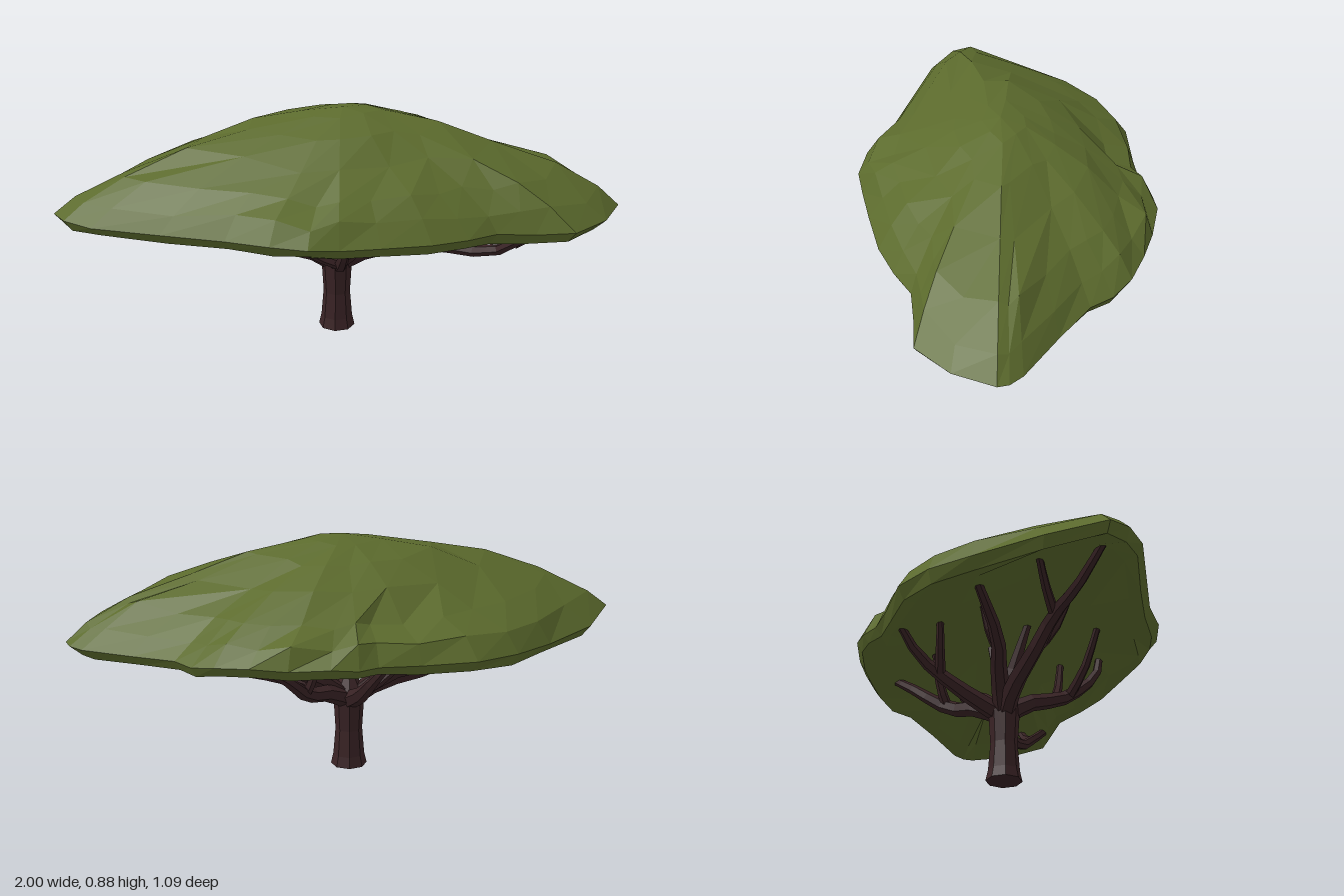
import * as THREE from 'three';

const foliage = new THREE.MeshStandardMaterial({ color: 0x5c6b2d, flatShading: true });
foliage.name = 'olive foliage';
const bark = new THREE.MeshStandardMaterial({ color: 0x392325, flatShading: true });
bark.name = 'dark bark';

const vec = (p) => new THREE.Vector3(...p);

// Plan outline of the canopy as [x, z], from the left end round by the front
const OUTLINE = [
  [1, -0.07], [0.86, 0.21], [0.6, 0.25], [0.41, 0.38], [0.1, 0.49], [-0.1, 0.54], [-0.4, 0.45], [-0.87, 0.35], [-1, 0.23],
  [-0.73, -0.18], [-0.47, -0.41], [-0.12, -0.48], [0.02, -0.55], [0.28, -0.53], [0.5, -0.46], [0.62, -0.33], [0.95, -0.14],
];
const SEGMENTS = 32;

// Half section of the canopy as [reach, height], from the hollow underside to the crown
const SECTION = [
  [0.3, 0.56], [0.6, 0.53], [0.86, 0.495], [0.96, 0.468], [1, 0.505],
  [0.92, 0.58], [0.76, 0.665], [0.55, 0.748], [0.34, 0.812], [0.15, 0.86],
];

function seeded(seed) {
  return () => {
    seed = (seed * 16807) % 2147483647;
    return (seed / 2147483647) * 2 - 1;
  };
}

// Joins two closed rings of any size with triangles
function stitch(a, b, out) {
  const n = a.length, m = b.length;
  let i = n === 1 ? n : 0, j = m === 1 ? m : 0;
  while (i < n || j < m) {
    if (j >= m || (i < n && (i + 1) / n <= (j + 1) / m)) {
      out.push(...a[i % n], ...b[j % m], ...a[(i + 1) % n]);
      i++;
    } else {
      out.push(...a[i % n], ...b[j % m], ...b[(j + 1) % m]);
      j++;
    }
  }
}

// Canopy: the outline scaled along the section, coarser inwards and roughened on its flanks
function makeCanopy() {
  const rand = seeded(4211);
  const outline = new THREE.CatmullRomCurve3(OUTLINE.map(([x, z]) => vec([x, 0, z])), true, 'centripetal');
  const rings = SECTION.map(([reach, height]) => {
    const count = reach > 0.7 ? SEGMENTS : reach > 0.32 ? SEGMENTS / 2 : SEGMENTS / 4;
    const rough = reach > 0.95 ? 0.006 : 0.018 * Math.sqrt(reach);
    const rimLift = 0.05 * THREE.MathUtils.smoothstep(reach, 0.8, 0.96);
    return Array.from({ length: count }, (_, i) => {
      const p = outline.getPoint(i / count);
      const k = reach === 1 ? 1 : reach * (1 + rand() * rough * 2);
      return [p.x * k, height + rimLift * (p.z / 0.54) ** 2 + rand() * rough, p.z * k];
    });
  });
  const chain = [[[0, 0.57, 0]], ...rings, [[0.01, 0.876, 0.01]]];
  const verts = [];
  for (let i = 0; i < chain.length - 1; i++) stitch(chain[i], chain[i + 1], verts);
  const geo = new THREE.BufferGeometry();
  geo.setAttribute('position', new THREE.Float32BufferAttribute(verts, 3));
  geo.computeVertexNormals();
  const mesh = new THREE.Mesh(geo, foliage);
  mesh.name = 'canopy';
  return mesh;
}

// Six-sided tube along a curve, narrowing from r0 to r1
function makeTaperedTube(name, curve, r0, r1) {
  const n = (curve.points.length - 1) * 2, sides = 6;
  const geo = new THREE.TubeGeometry(curve, n, 1, sides, false);
  const pos = geo.attributes.position, v = new THREE.Vector3();
  for (let k = 0; k < pos.count; k++) {
    const t = Math.floor(k / (sides + 1)) / n;
    const c = curve.getPointAt(t);
    v.fromBufferAttribute(pos, k).sub(c).multiplyScalar(r0 + (r1 - r0) * t).add(c);
    pos.setXYZ(k, v.x, v.y, v.z);
  }
  geo.computeVertexNormals();
  const mesh = new THREE.Mesh(geo, bark);
  mesh.name = name;
  return mesh;
}

// Waypoints of each limb beyond the trunk; twigs are [start along limb, reach in x, reach in z]
const LIMBS = {
  left: { path: [[0.1, 0.31, -0.02], [0.3, 0.355, 0], [0.55, 0.375, 0.09], [0.71, 0.52, 0.22]], twigs: [[0.72, 0.06, -0.06], [0.84, 0.14, -0.04]] },
  leftUpper: { path: [[0.1, 0.36, -0.09], [0.22, 0.42, -0.14], [0.36, 0.445, -0.09], [0.5, 0.53, -0.02]], twigs: [] },
  back: { path: [[0.06, 0.31, -0.11], [0.14, 0.34, -0.2], [0.22, 0.45, -0.34], [0.32, 0.53, -0.41]], twigs: [[0.46, -0.05, -0.05]] },
  backRight: { path: [[-0.05, 0.32, -0.16], [-0.09, 0.44, -0.33], [-0.14, 0.53, -0.4]], twigs: [[0.55, -0.14, -0.01]] },
  right: { path: [[-0.12, 0.31, 0], [-0.36, 0.36, 0.06], [-0.48, 0.43, 0.11], [-0.7, 0.44, 0.17], [-0.88, 0.52, 0.24]], twigs: [[0.37, -0.08, 0.12], [0.55, -0.24, -0.08]] },
  rightBack: { path: [[-0.15, 0.36, -0.05], [-0.33, 0.41, -0.07], [-0.57, 0.53, -0.17]], twigs: [[0.45, -0.05, -0.06]] },
  front: { path: [[0, 0.31, 0.07], [0.02, 0.345, 0.2], [0.05, 0.45, 0.32], [0.07, 0.53, 0.34]], twigs: [[0.42, 0.13, 0.04], [0.55, -0.2, 0.08]] },
  centre: { path: [[-0.03, 0.38, 0], [-0.11, 0.58, 0.06]], twigs: [[0.3, 0.05, -0.06]] },
};

// A limb leaves the trunk top; each twig turns upward into the foliage
function makeLimb(name, { path, twigs }) {
  const limb = new THREE.Group();
  limb.name = name + 'Limb';
  const curve = new THREE.CatmullRomCurve3([[-0.015, 0.25, -0.02], ...path].map(vec), false, 'centripetal');
  limb.add(makeTaperedTube(name + 'Bough', curve, 0.037, 0.014));
  for (const [start, dx, dz] of twigs) {
    const a = curve.getPointAt(start);
    const rise = 0.54 - a.y;
    const bend = a.clone().add(vec([dx * 0.55, rise * 0.35, dz * 0.55]));
    const tip = a.clone().add(vec([dx, rise, dz]));
    const twig = new THREE.CatmullRomCurve3([a, bend, tip], false, 'centripetal');
    limb.add(makeTaperedTube(name + 'Twig', twig, 0.02, 0.012));
  }
  return limb;
}

// Eight-sided trunk, flared at the foot and swelling where the limbs part
function makeTrunk() {
  const profile = [[0, 0], [0.066, 0], [0.057, 0.04], [0.049, 0.14], [0.058, 0.29], [0.03, 0.34], [0, 0.35]];
  const geo = new THREE.LatheGeometry(profile.map((p) => new THREE.Vector2(...p)), 8);
  geo.translate(-0.015, 0, -0.02);
  const mesh = new THREE.Mesh(geo, bark);
  mesh.name = 'trunk';
  return mesh;
}

export function createModel() {
  const tree = new THREE.Group();
  tree.name = 'flatToppedTree';
  tree.add(makeTrunk(), makeCanopy());
  for (const [name, limb] of Object.entries(LIMBS)) tree.add(makeLimb(name, limb));
  return tree;
}
